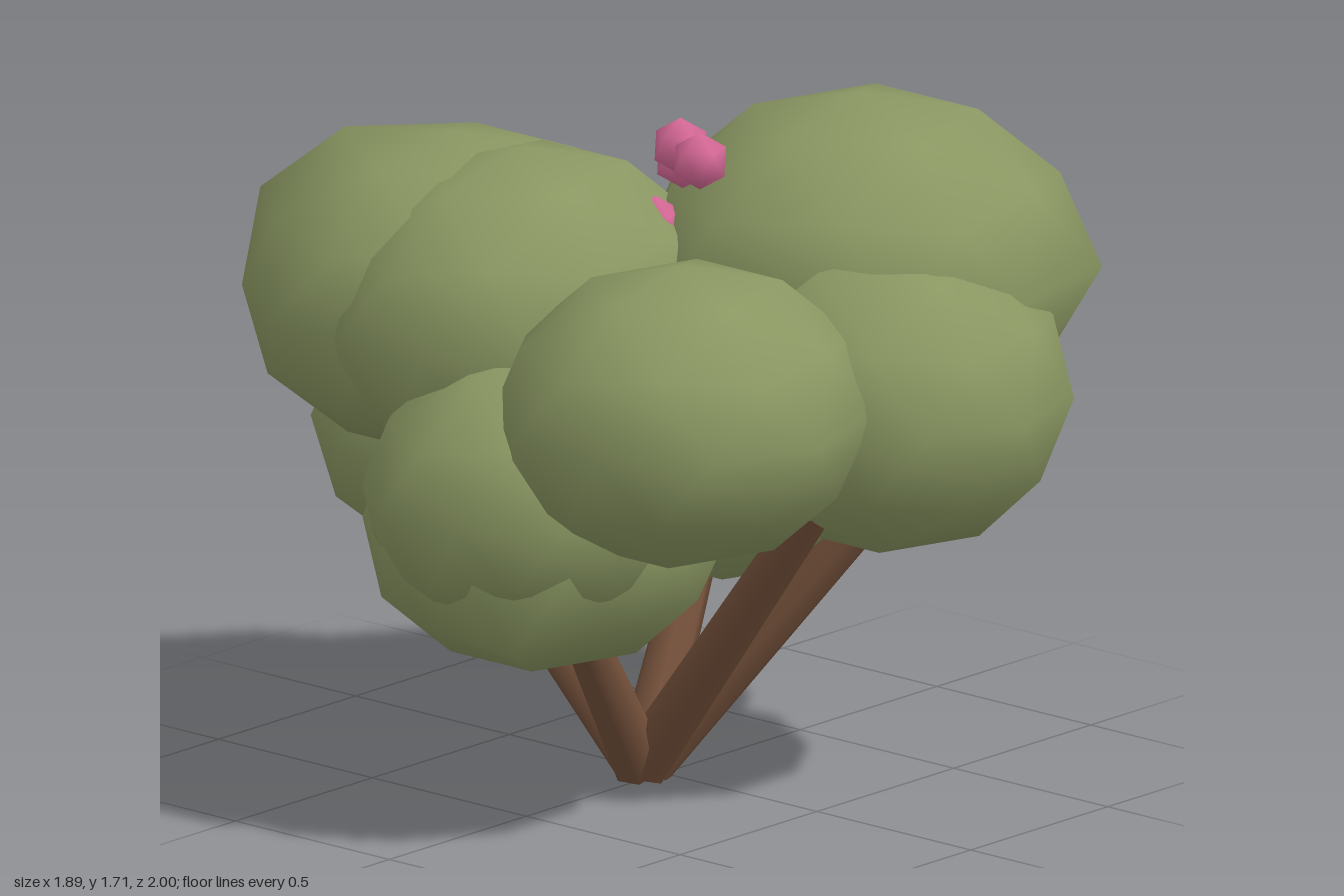
import * as THREE from 'three';

// Unit icosphere with a corner at the pole and smooth normals
function icosphere(detail) {
  const geometry = new THREE.IcosahedronGeometry(1, detail);
  geometry.rotateZ(Math.atan(2 / (1 + Math.sqrt(5))));
  geometry.setAttribute('normal', geometry.getAttribute('position').clone());
  return geometry;
}

// Push the corners near each [azimuth, latitude, amount] in or out
function addBumps(geometry, bumps) {
  const position = geometry.getAttribute('position');
  const v = new THREE.Vector3();
  const d = new THREE.Vector3();
  for (const [azimuth, latitude, amount] of bumps) {
    const az = THREE.MathUtils.degToRad(azimuth);
    const lat = THREE.MathUtils.degToRad(latitude);
    d.set(Math.cos(lat) * Math.cos(az), Math.sin(lat), Math.cos(lat) * Math.sin(az));
    for (let i = 0; i < position.count; i++) {
      v.fromBufferAttribute(position, i);
      if (v.angleTo(d) > 0.15) continue;
      v.multiplyScalar(1 + amount);
      position.setXYZ(i, v.x, v.y, v.z);
    }
  }
  return geometry;
}

export function createModel() {
  const model = new THREE.Group();
  model.name = 'bush';

  const leafGreen = new THREE.MeshStandardMaterial({ color: 0x8a9762 });
  leafGreen.name = 'leaf green';
  const barkBrown = new THREE.MeshStandardMaterial({ color: 0x73503a });
  barkBrown.name = 'bark brown';
  const berryPink = new THREE.MeshStandardMaterial({ color: 0xd96a99 });
  berryPink.name = 'berry pink';

  function addBall(name, geometry, material, centre, [rx, ry, rz]) {
    const mesh = new THREE.Mesh(geometry.scale(rx, ry, rz), material);
    mesh.name = name;
    mesh.position.set(...centre);
    model.add(mesh);
  }

  // Foliage clumps: centre, radii, bumps
  const clumps = [
    ['foliageTopRight', [0.40, 1.26, 0.29], [0.56, 0.43, 0.54],
      [[180, 26, 0.1], [0, -26, 0.08], [0, -58, 0.12], [-54, 0, 0.07], [54, 0, 0.07]]],
    ['foliageTopBack', [-0.25, 1.19, -0.43], [0.55, 0.40, 0.53],
      [[-108, 26, 0.12], [-108, 58, 0.11], [180, 58, 0.08], [162, 0, -0.07]]],
    ['foliageTopBackInner', [-0.26, 1.185, -0.23], [0.545, 0.41, 0.45], []],
    ['foliageFrontLeft', [-0.40, 1.075, 0.42], [0.49, 0.375, 0.45], []],
    ['foliageFront', [0.20, 1.02, 0.565], [0.46, 0.39, 0.435],
      [[180, 58, 0.08], [0, -26, 0.1]]],
    ['foliageLowRight', [0.26, 0.81, 0.0], [0.47, 0.365, 0.45],
      [[-54, 0, 0.17], [0, -26, 0.04]]],
    ['foliageLowBack', [0.02, 0.785, -0.50], [0.495, 0.365, 0.50],
      [[-108, 58, 0.1], [-72, -26, -0.08]]],
    ['foliageLowLeft', [-0.49, 0.84, 0.04], [0.48, 0.37, 0.41], [[180, 26, 0.04]]],
    ['foliageLowLeftInner', [-0.42, 0.735, 0.0], [0.49, 0.375, 0.43], [[144, -26, 0.23]]],
  ];
  for (const [name, centre, radii, bumps] of clumps) {
    addBall(name, addBumps(icosphere(1), bumps), leafGreen, centre, radii);
  }

  // Tapered stems fanning out from one foot
  const up = new THREE.Vector3(0, 1, 0);
  const stems = [
    [[-0.08, 0.04, 0.01], [-0.10, 0.88, 0.64]],
    [[-0.06, 0.04, 0.01], [0.31, 0.80, 0.52]],
    [[-0.06, 0.04, -0.01], [0.42, 0.64, -0.20]],
    [[-0.07, 0.04, -0.02], [-0.22, 0.64, -0.46]],
    [[-0.09, 0.04, 0.0], [-0.46, 0.55, 0.10]],
  ];
  stems.forEach(([from, to], i) => {
    const a = new THREE.Vector3(...from);
    const b = new THREE.Vector3(...to);
    const direction = b.clone().sub(a);
    const geometry = new THREE.CylinderGeometry(0.05, 0.068, direction.length(), 7);
    const mesh = new THREE.Mesh(geometry, barkBrown);
    mesh.name = `stem${i + 1}`;
    mesh.position.copy(a).add(b).multiplyScalar(0.5);
    mesh.quaternion.setFromUnitVectors(up, direction.normalize());
    model.add(mesh);
  });

  // Berries on top
  const berries = [
    [-0.163, 1.632, 0.265],
    [-0.06, 1.617, 0.11],
    [0.0, 1.56, 0.065],
    [-0.05, 1.40, 0.02],
  ];
  berries.forEach((centre, i) => {
    addBall(`berry${i + 1}`, icosphere(0), berryPink, centre, [0.072, 0.072, 0.072]);
  });

  return model;
}
